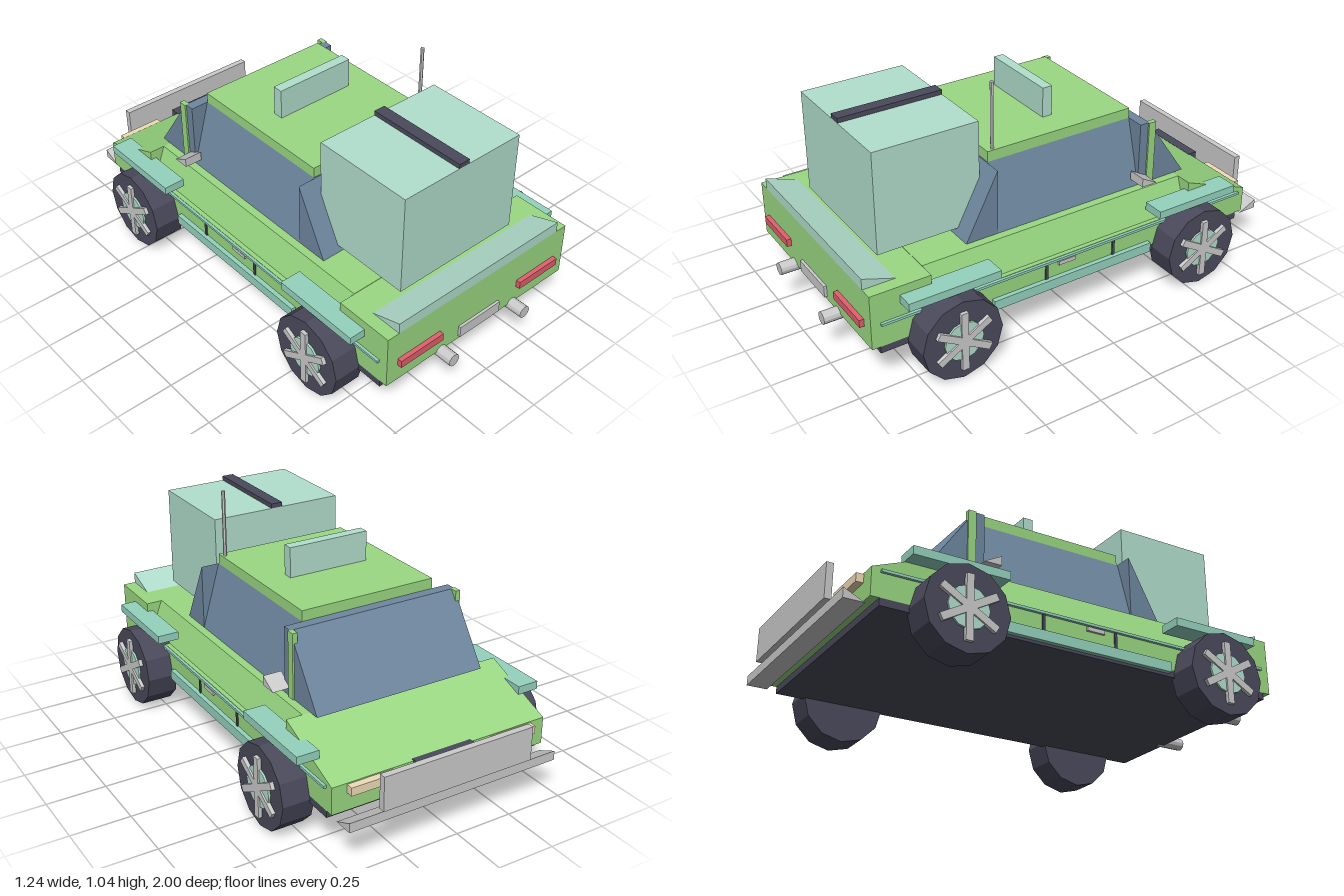
import * as THREE from 'three';

const mat = (color) => new THREE.MeshStandardMaterial({ color, flatShading: true });

export function createModel() {
  const car = new THREE.Group();
  car.name = 'car';
  const green = mat(0x9ad982), mint = mat(0xb2dfce), teal = mat(0x95d3bf), glass = mat(0x6f88a0);
  const dark = mat(0x4a4a5c), grey = mat(0xcccccc), red = mat(0xe0606c), cream = mat(0xf0dcb8);

  const add = (name, geometry, material, parent = car) => {
    const mesh = new THREE.Mesh(geometry, material);
    mesh.name = name;
    parent.add(mesh);
    return mesh;
  };
  // Box from its limits
  const box = (name, material, x0, x1, y0, y1, z0, z1, parent = car) => {
    const mesh = add(name, new THREE.BoxGeometry(x1 - x0, y1 - y0, z1 - z0), material, parent);
    mesh.position.set((x0 + x1) / 2, (y0 + y1) / 2, (z0 + z1) / 2);
    return mesh;
  };
  const extrude = (points, depth) => new THREE.ExtrudeGeometry(
    new THREE.Shape(points.map(([a, b]) => new THREE.Vector2(a, b))), { depth, bevelEnabled: false });
  // Side profile given as [z, y], extruded across x
  const acrossX = (name, material, points, x0, x1) =>
    add(name, extrude(points, x1 - x0).translate(0, 0, -x1).rotateY(-Math.PI / 2), material);
  // Cross-section given as half [x, y], mirrored and extruded along z
  const alongZ = (name, material, half, z0, z1) => {
    const points = [...half, ...half.map(([x, y]) => [-x, y]).reverse()];
    return add(name, extrude(points, z1 - z0).translate(0, 0, z0), material);
  };

  // Body: tail block, waisted middle, sloping hood; the hood faces -z
  box('undertray', dark, -0.49, 0.49, 0.16, 0.19, -0.855, 0.895);
  box('tailBody', green, -0.49, 0.49, 0.19, 0.428, 0.67, 0.93);
  alongZ('middleBody', green, [[0.49, 0.19], [0.49, 0.3], [0.47, 0.3], [0.42, 0.43]], -0.57, 0.67);
  acrossX('hood', green, [[-0.89, 0.19], [-0.57, 0.19], [-0.57, 0.43], [-0.89, 0.305]], -0.49, 0.49);
  acrossX('rearSpoiler', mint, [[0.79, 0.428], [0.93, 0.428], [0.93, 0.475]], -0.435, 0.435);

  // Cabin
  alongZ('sideGlass', glass, [[0.385, 0.43], [0.305, 0.71]], -0.42, 0.31);
  acrossX('windshield', glass,
    [[-0.62, 0.43], [-0.38, 0.43], [-0.38, 0.71], [-0.425, 0.71]], -0.385, 0.385);
  acrossX('rearWindow', glass, [[0.31, 0.43], [0.455, 0.43], [0.31, 0.71]], -0.385, 0.385);
  box('roof', green, -0.305, 0.305, 0.71, 0.755, -0.38, 0.305);
  box('roofSign', mint, -0.185, 0.18, 0.755, 0.885, -0.08, -0.035);
  const antenna = add('antenna', new THREE.CylinderGeometry(0.008, 0.008, 0.29, 6), grey);
  antenna.position.set(0.29, 0.895, 0.275);

  // Cargo box with its strap
  box('cargoBox', mint, -0.3, 0.3, 0.455, 0.895, 0.34, 0.795);
  box('cargoStrap', dark, -0.026, 0.026, 0.895, 0.915, 0.34, 0.795);

  // Front end
  acrossX('frontBumper', grey, [[-0.985, 0.165], [-0.9, 0.165], [-0.985, 0.205]], -0.475, 0.475);
  box('bullBar', grey, -0.34, 0.34, 0.215, 0.36, -1, -0.972);
  box('grille', dark, -0.135, 0.135, 0.21, 0.31, -0.925, -0.88);

  // Rear plate
  box('licencePlate', grey, -0.11, 0.11, 0.205, 0.255, 0.925, 0.942);

  // Paired details
  for (const s of [-1, 1]) {
    const side = s > 0 ? 'left' : 'right';
    const pair = (name, material, x0, x1, ...rest) =>
      box(side + name, material, Math.min(s * x0, s * x1), Math.max(s * x0, s * x1), ...rest);
    pair('Pillar', green, 0.37, 0.392, 0.42, 0.71, -0.455, -0.42);
    pair('TrimStrip', teal, 0.48, 0.502, 0.287, 0.298, -0.855, 0.89);
    pair('Sill', teal, 0.47, 0.51, 0.172, 0.215, -0.365, 0.405);
    pair('DoorHandle', grey, 0.485, 0.5, 0.265, 0.282, 0.015, 0.095);
    for (const z of [-0.18, 0.15])
      pair('DoorSeam', dark, 0.485, 0.495, 0.215, 0.288, z - 0.006, z + 0.006);
    pair('TailLight', red, 0.215, 0.435, 0.265, 0.298, 0.92, 0.95);
    pair('Headlight', cream, 0.225, 0.425, 0.265, 0.3, -0.92, -0.88);
    acrossX(side + 'Mirror', grey, [[-0.42, 0.465], [-0.345, 0.465], [-0.345, 0.505]],
      s > 0 ? 0.38 : -0.46, s > 0 ? 0.46 : -0.38);
    const pipe = add(side + 'Exhaust',
      new THREE.CylinderGeometry(0.027, 0.027, 0.13, 12).rotateX(Math.PI / 2), grey);
    pipe.position.set(s * 0.2, 0.184, 0.935);

    // Wheels with fender flares above them
    for (const [end, z] of [['Front', -0.565], ['Rear', 0.605]]) {
      pair(end + 'Flare', teal, 0.465, 0.56, 0.355, 0.39, z - 0.2, z + 0.2);
      const wheel = new THREE.Group();
      wheel.name = side + end + 'Wheel';
      wheel.position.set(s * 0.5375, 0.175, z);
      car.add(wheel);
      const disc = (name, r, w, x, m) => {
        add(name, new THREE.CylinderGeometry(r, r, w, 12).rotateZ(Math.PI / 2), m, wheel)
          .position.x = s * x;
      };
      disc('tyre', 0.175, 0.135, 0, dark);
      disc('hubDisc', 0.085, 0.02, 0.066, mint);
      for (let i = 0; i < 3; i++) {
        const spoke = add('spoke', new THREE.BoxGeometry(0.016, 0.26, 0.03), grey, wheel);
        spoke.position.x = s * 0.075;
        spoke.rotation.x = i * Math.PI / 3;
      }
    }
  }
  return car;
}
